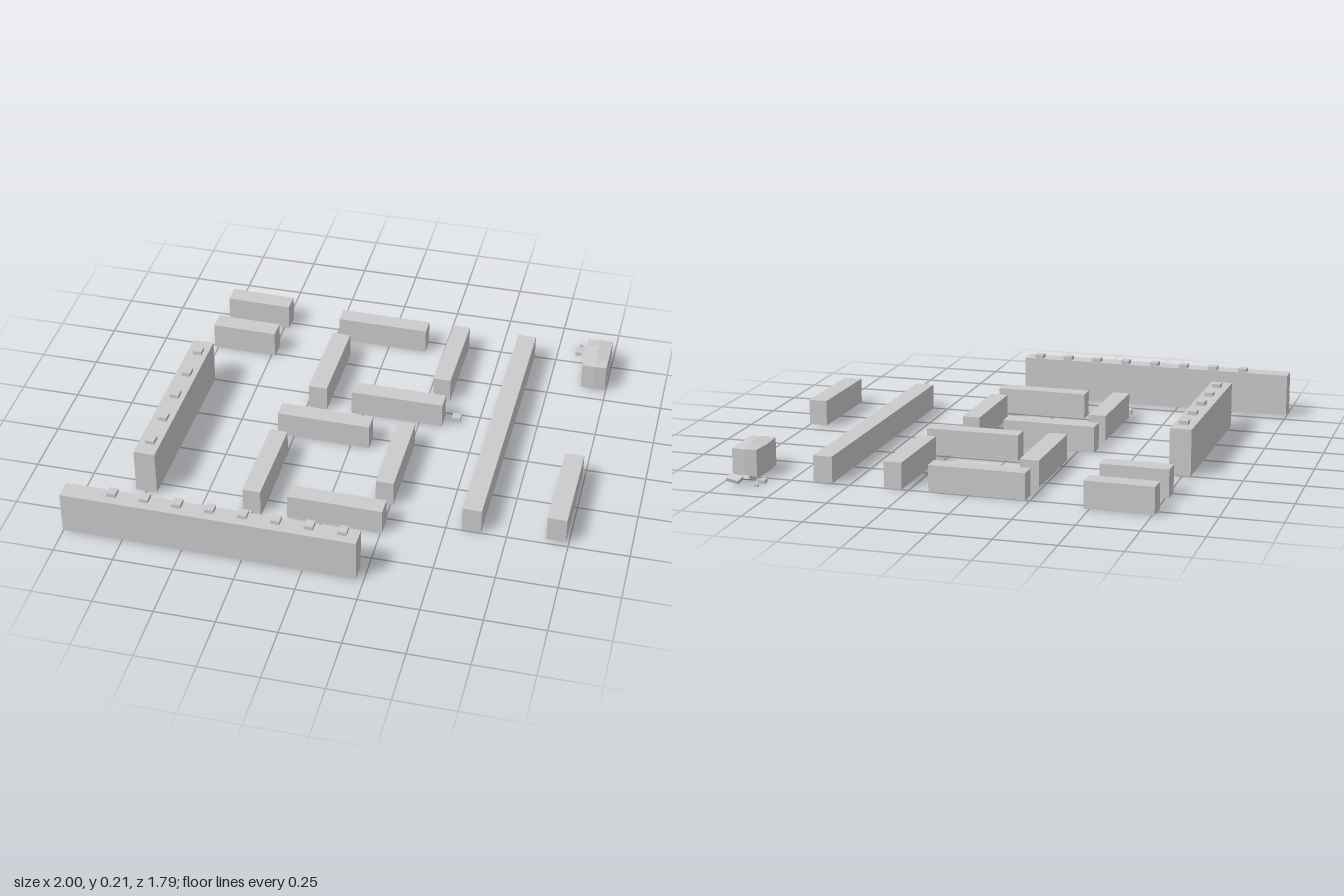
import * as THREE from 'three';

const material = new THREE.MeshStandardMaterial({ color: 0xcccccc, flatShading: true });

// Box standing on y0, turned about y
function block(name, x, z, w, d, y0, y1, turn = 0) {
  const mesh = new THREE.Mesh(new THREE.BoxGeometry(w, y1 - y0, d), material);
  mesh.position.set(x, (y0 + y1) / 2, z);
  mesh.rotation.y = turn;
  mesh.name = name;
  return mesh;
}

// Straight wall between two ground points
function wall(name, x1, z1, x2, z2, thick, y0, y1) {
  const dx = x2 - x1, dz = z2 - z1;
  return block(name, (x1 + x2) / 2, (z1 + z2) / 2, Math.hypot(dx, dz), thick, y0, y1, Math.atan2(-dz, dx));
}

// Tall wall with a row of evenly spaced merlons on top
function battlement(name, ends, thick, y0, y1, first, last, count) {
  const group = new THREE.Group();
  group.name = name;
  group.add(wall(name + 'Body', ...ends, thick, y0, y1));
  for (let i = 0; i < count; i++) {
    const t = i / (count - 1);
    const x = THREE.MathUtils.lerp(first[0], last[0], t);
    const z = THREE.MathUtils.lerp(first[1], last[1], t);
    group.add(block('merlon', x, z, 0.037, 0.042, y1 - 0.005, y1 + 0.017, -0.03));
  }
  return group;
}

// Blocky building: sides bulge a little and the top rises to a low ridge
function hut() {
  const geo = new THREE.BoxGeometry(0.106, 0.118, 0.2, 2, 1, 4);
  const p = geo.attributes.position;
  for (let i = 0; i < p.count; i++) {
    const x = p.getX(i), y = p.getY(i), z = p.getZ(i);
    if (x < -0.01) p.setX(i, x - 0.006 * (1 - Math.abs(z) / 0.1));
    if (y > 0 && Math.abs(x) < 0.01 && Math.abs(z) < 0.09) p.setY(i, y + 0.01);
    if (Math.abs(x) < 0.01 && Math.abs(z) > 0.09) p.setZ(i, z + Math.sign(z) * 0.004);
  }
  geo.computeVertexNormals();
  const mesh = new THREE.Mesh(geo, material);
  mesh.position.set(0.942, 0.064, -0.672);
  mesh.name = 'hut';
  return mesh;
}

export function createModel() {
  const model = new THREE.Group();
  model.name = 'ruinedFort';

  // Outer walls with merlons
  model.add(battlement('frontWall', [-1, 0.84, 0.22, 0.852], 0.08, 0.008, 0.19,
    [-0.795, 0.825], [0.155, 0.835], 8));
  model.add(battlement('sideWall', [-0.74, -0.253, -0.75, 0.56], 0.09, 0.003, 0.2,
    [-0.738, -0.17], [-0.745, 0.475], 5));

  // Low inner walls: x1, z1, x2, z2, thickness, top
  const lowWalls = [
    [-0.76, -0.757, -0.477, -0.75, 0.08, 0.115],
    [-0.765, -0.53, -0.483, -0.525, 0.08, 0.12],
    [-0.232, -0.715, 0.168, -0.71, 0.075, 0.113],
    [-0.195, -0.567, -0.2, -0.155, 0.08, 0.113],
    [0.317, -0.748, 0.311, -0.336, 0.075, 0.113],
    [-0.05, -0.193, 0.35, -0.19, 0.075, 0.113],
    [-0.32, 0.025, 0.08, 0.031, 0.075, 0.113],
    [0.227, 0, 0.225, 0.408, 0.075, 0.113],
    [-0.284, 0.177, -0.29, 0.588, 0.075, 0.113],
    [-0.14, 0.55, 0.257, 0.555, 0.075, 0.113],
    [0.615, -0.745, 0.605, 0.497, 0.08, 0.113],
    [0.952, 0.055, 0.948, 0.482, 0.08, 0.12],
  ];
  lowWalls.forEach(([x1, z1, x2, z2, t, top], i) =>
    model.add(wall('lowWall' + (i + 1), x1, z1, x2, z2, t, i === 11 ? 0.01 : 0.002, top)));

  // Loose stones
  model.add(block('stone', 0.404, -0.206, 0.037, 0.037, 0.006, 0.029));
  model.add(block('stone', -0.306, 0.63, 0.047, 0.04, 0.006, 0.029, 0.1));

  // Hut with rubble behind it
  model.add(hut());
  const slabs = [
    block('rubbleSlab', 0.918, -0.833, 0.088, 0.045, 0.012, 0.027, -0.26),
    block('rubbleSlab', 0.943, -0.87, 0.06, 0.036, 0.012, 0.027, -0.26),
  ];
  slabs[0].rotation.set(0.4, -0.26, 0);
  slabs[1].rotation.set(-0.35, -0.26, 0);
  slabs[0].position.y = 0.023;
  slabs[1].position.y = 0.027;
  model.add(...slabs);
  model.add(block('pebble', 0.842, -0.821, 0.026, 0.038, 0.004, 0.02, 0.1));
  model.add(block('pebble', 0.847, -0.876, 0.017, 0.014, 0.004, 0.014, 0.1));
  return model;
}
